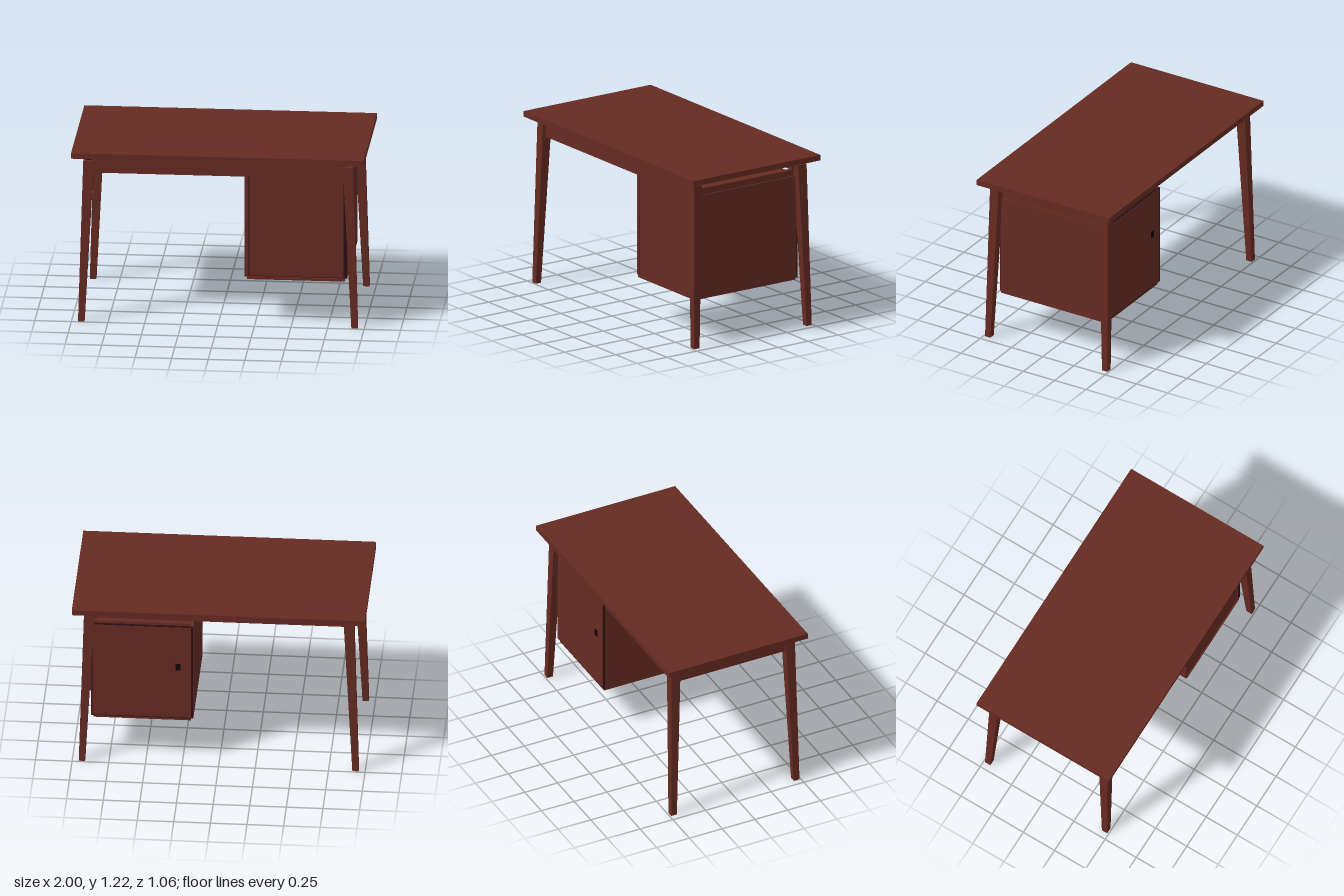
import * as THREE from 'three';

export function createModel() {
  const desk = new THREE.Group();
  desk.name = 'desk';
  const wood = new THREE.MeshStandardMaterial({ color: 0x662b22 });
  wood.name = 'reddish wood';
  const dark = new THREE.MeshStandardMaterial({ color: 0x2e0d10 });
  dark.name = 'dark wood';
  const black = new THREE.MeshStandardMaterial({ color: 0x120606 });
  black.name = 'lock black';

  // Box given by its extents along each axis
  function box(name, mat, [x0, x1], [y0, y1], [z0, z1], parent = desk) {
    const mesh = new THREE.Mesh(new THREE.BoxGeometry(x1 - x0, y1 - y0, z1 - z0), mat);
    mesh.position.set((x0 + x1) / 2, (y0 + y1) / 2, (z0 + z1) / 2);
    mesh.name = name;
    parent.add(mesh);
    return mesh;
  }

  // Floating table top
  box('tableTop', wood, [-1, 1], [1.176, 1.215], [-0.53, 0.53]);

  // Splayed legs, tapering towards the floor
  function leg(name, sx, sz) {
    const g = new THREE.BoxGeometry(1, 1, 1);
    const p = g.attributes.position;
    for (let i = 0; i < p.count; i++) {
      const top = p.getY(i) > 0;
      const [cx, cz, w] = top ? [0.887, 0.436, 0.069] : [0.934, 0.468, 0.043];
      p.setXYZ(i, sx * cx + p.getX(i) * w, top ? 1.143 : 0, sz * cz + p.getZ(i) * w);
    }
    g.computeVertexNormals();
    const mesh = new THREE.Mesh(g, wood);
    mesh.name = name;
    desk.add(mesh);
  }
  leg('frontLeftLeg', 1, 1);
  leg('frontRightLeg', -1, 1);
  leg('backLeftLeg', 1, -1);
  leg('backRightLeg', -1, -1);

  // Rails under the top
  box('frontApron', wood, [-0.87, 0.88], [1.055, 1.166], [0.42, 0.451]);
  box('sideApron', dark, [-0.9, -0.872], [1.058, 1.166], [-0.42, 0.45]);
  box('sideApronFace', wood, [-0.907, -0.9], [1.055, 1.166], [-0.42, 0.45]);
  box('sideApronLip', wood, [-0.872, -0.865], [1.055, 1.1], [-0.42, 0.42]);
  box('backRail', wood, [-0.87, 0.87], [1.1, 1.15], [-0.42, -0.385]);
  box('cabinetRail', wood, [0.835, 0.865], [1.052, 1.1], [-0.4, 0.4]);
  box('shelfPanel', wood, [-0.865, 0.2], [1.094, 1.104], [-0.385, 0.42]);

  // Hanging cabinet
  const cabinet = new THREE.Group();
  cabinet.name = 'cabinet';
  desk.add(cabinet);
  const part = (...a) => box(...a, cabinet);
  part('cabinetBottom', wood, [0.195, 0.86], [0.312, 0.33], [-0.42, 0.42]);
  part('cabinetCore', dark, [0.2, 0.86], [0.33, 1.052], [-0.418, 0.405]);
  part('cabinetFront', wood, [0.21, 0.852], [0.337, 1.055], [0.405, 0.415]);
  part('innerSidePanel', wood, [0.178, 0.202], [0.33, 1.055], [-0.42, 0.42]);
  part('outerSidePanel', wood, [0.856, 0.876], [0.33, 1.055], [-0.42, 0.416]);
  part('outerSideEdge', dark, [0.856, 0.875], [0.34, 1.05], [0.416, 0.42]);
  part('cabinetLid', wood, [0.2, 0.858], [1.045, 1.07], [-0.41, 0.41]);

  // Door at the back with its lock plate
  part('doorEdge', dark, [0.18, 0.874], [0.332, 1.055], [-0.43, -0.42]);
  part('doorFace', wood, [0.192, 0.866], [0.34, 1.05], [-0.434, -0.43]);
  part('lockPlate', black, [0.265, 0.3], [0.715, 0.765], [-0.438, -0.434]);

  return desk;
}
